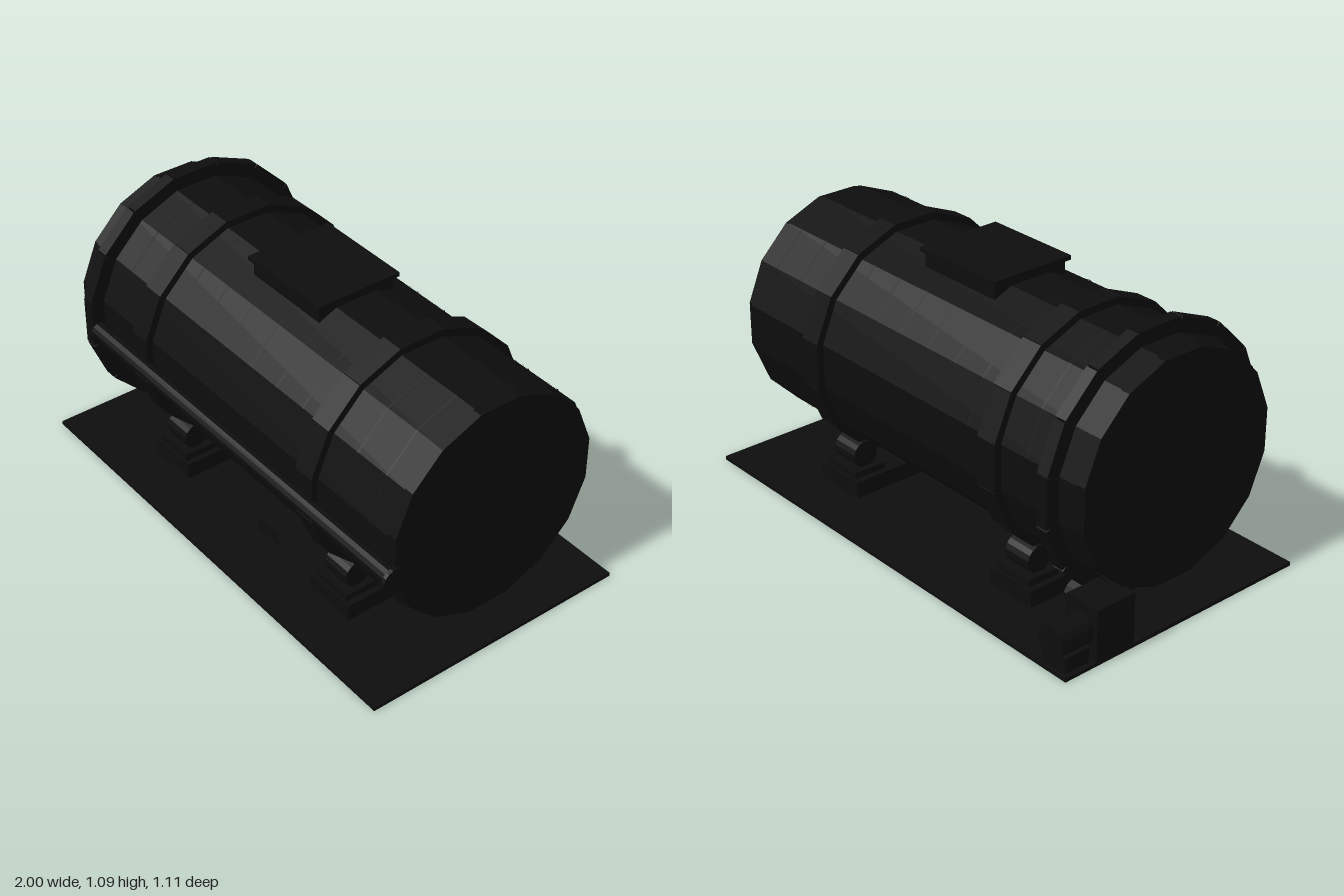
import * as THREE from 'three';

const SIDES = 16, AXIS_Y = 0.585;
const STEP = (Math.PI * 2) / SIDES;

export function createModel() {
  const model = new THREE.Group();
  model.name = 'rotaryDrum';
  const black = new THREE.MeshStandardMaterial({ color: 0x0d0d0d, flatShading: true, side: THREE.DoubleSide });
  black.name = 'black';

  const add = (name, geometry, x, y, z, parent = model) => {
    const mesh = new THREE.Mesh(geometry, black);
    mesh.name = name;
    mesh.position.set(x, y, z);
    parent.add(mesh);
    return mesh;
  };
  // box given by its limits on each axis
  const box = (name, x0, x1, y0, y1, z0, z1) =>
    add(name, new THREE.BoxGeometry(x1 - x0, y1 - y0, z1 - z0), (x0 + x1) / 2, (y0 + y1) / 2, (z0 + z1) / 2);
  // cylinder lying along x
  const barX = (name, r, x0, x1, y, z, sides = 16, open = false) =>
    add(name, new THREE.CylinderGeometry(r, r, x1 - x0, sides, 1, open, Math.PI / sides).rotateZ(Math.PI / 2),
      (x0 + x1) / 2, y, z);

  // base plate
  box('basePlate', -1, 1, 0, 0.015, -0.555, 0.555);

  // drum: closed core, outer shell and thin seams
  barX('drumCore', 0.442, -0.945, 0.945, AXIS_Y, 0, SIDES);
  barX('drumShell', 0.453, -0.915, 0.915, AXIS_Y, 0, SIDES, true);
  for (let i = 0; i < 12; i++) {
    const x = -0.825 + i * 0.15;
    barX('drumSeam', 0.456, x - 0.004, x + 0.004, AXIS_Y, 0, SIDES, true);
  }

  // rings made of straight segments around the drum
  const ring = (name, x, width, inner, outer) => {
    const group = new THREE.Group();
    group.name = name;
    group.position.set(x, AXIS_Y, 0);
    const length = (inner + outer) * Math.tan(STEP / 2) + 0.004;
    for (let i = 0; i < SIDES; i++) {
      const a = i * STEP, r = (inner + outer) / 2;
      const segment = add('ringSegment', new THREE.BoxGeometry(width, outer - inner, length),
        0, Math.cos(a) * r, Math.sin(a) * r, group);
      segment.rotation.x = a;
    }
    model.add(group);
  };
  ring('gearRing', -0.81, 0.05, 0.441, 0.5);
  ring('leftRidingRing', 0.5, 0.09, 0.441, 0.473);
  ring('rightRidingRing', -0.5, 0.09, 0.441, 0.473);

  // roller supports under the riding rings
  for (const x of [-0.5, 0.5]) {
    box('supportBeam', x - 0.11, x + 0.11, 0.015, 0.083, -0.36, 0.36);
    for (const s of [-1, 1]) {
      const z = s * 0.278;
      box('rollerPedestal', x - 0.085, x + 0.085, 0.083, 0.11, z - 0.07, z + 0.07);
      barX('roller', 0.055, x - 0.06, x + 0.06, 0.16, z);
    }
  }

  // inspection hatch
  box('hatchBase', -0.19, 0.19, 0.93, 1.06, -0.166, 0.166);
  box('hatchLid', -0.205, 0.205, 1.057, 1.074, -0.18, 0.18);

  // side pipe and its flange
  barX('sidePipe', 0.033, -0.78, 0.99, 0.557, 0.478, 12);
  barX('pipeFlange', 0.048, 0.985, 1, 0.557, 0.478);

  // drive: gearbox, motor and pinion
  box('gearbox', -1, -0.85, 0.015, 0.222, -0.415, -0.24);
  box('motorFoot', -0.98, -0.87, 0.015, 0.075, -0.54, -0.43);
  add('motor', new THREE.CylinderGeometry(0.061, 0.061, 0.14, 16).rotateX(Math.PI / 2), -0.925, 0.126, -0.485);
  barX('pinion', 0.05, -0.86, -0.785, 0.16, -0.32, 12);

  // small plate on the front side
  box('smallPlate', 0.08, 0.19, 0.083, 0.14, 0.359, 0.363);

  return model;
}
